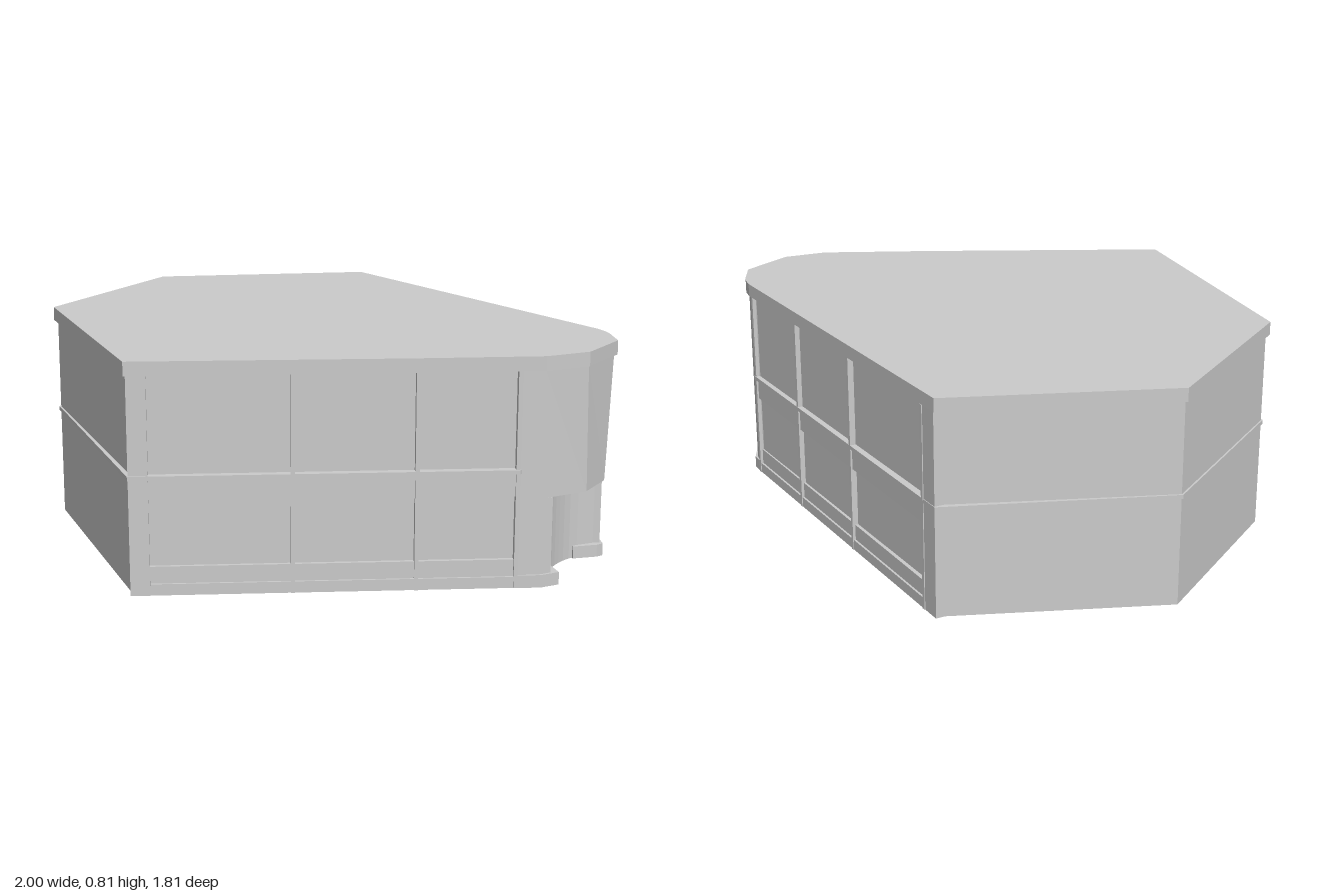
import * as THREE from 'three';

const material = new THREE.MeshStandardMaterial({ color: 0xcccccc, flatShading: true, side: THREE.DoubleSide });

// Solid prism from a plan of [x, z] points, between two heights
function prism(name, plan, y0, y1) {
  const shape = new THREE.Shape(plan.map(([x, z]) => new THREE.Vector2(x, -z)));
  const geo = new THREE.ExtrudeGeometry(shape, { depth: y1 - y0, bevelEnabled: false });
  geo.rotateX(-Math.PI / 2).translate(0, y0, 0);
  const mesh = new THREE.Mesh(geo, material);
  mesh.name = name;
  return mesh;
}

// Window wall running from a to b; stops are mullion positions along it
function facade(name, a, b, stops, pier) {
  const g = new THREE.Group();
  g.name = name;
  const dx = b[0] - a[0], dz = b[1] - a[1], length = Math.hypot(dx, dz);
  g.position.set(a[0], 0, a[1]);
  g.rotation.y = -Math.atan2(dz, dx);
  const bar = (part, u0, u1, y0, y1, front) => {
    const depth = 0.03 + front;
    const mesh = new THREE.Mesh(new THREE.BoxGeometry(u1 - u0, y1 - y0, depth), material);
    mesh.position.set((u0 + u1) / 2, (y0 + y1) / 2, front - depth / 2);
    mesh.name = part;
    g.add(mesh);
  };
  bar('plinth', 0, length, 0, 0.04, 0);
  bar('sill', 0, length, 0.04, 0.1, -0.008);
  bar('fascia', 0, length, 0.325, 0.405, -0.004);
  bar('pier', pier[0], pier[1], 0, 0.76, 0);
  for (const u of stops) bar('mullion', u - 0.007, u + 0.007, 0, 0.76, 0.003);
  return g;
}

export function createModel() {
  const model = new THREE.Group();
  model.name = 'cornerBuilding';

  // Shared wall plan on the long sides, with the facades set back
  const back = [[0.242, -0.89], [-0.583, -0.838], [-0.985, -0.15], [-0.69, 0.86]];
  const frontEnd = [[0.62, 0.872], [0.62, 0.893], [0.7, 0.89]];
  const sideStart = [[0.985, 0.5], [0.972, 0.455], [0.952, 0.441]];

  // Ground floor with a concave entrance cut into the corner
  const notch = new THREE.SplineCurve([[0.74, 0.86], [0.745, 0.8], [0.765, 0.73], [0.805, 0.66], [0.87, 0.595], [0.96, 0.56]]
    .map(([x, z]) => new THREE.Vector2(x, z))).getPoints(14).map((p) => [p.x, p.y]);
  model.add(prism('lowerWalls', [...back, ...frontEnd, [0.74, 0.874], ...notch, [0.985, 0.56], ...sideStart], 0, 0.315));

  // Upper walls; the panel over the entrance leans inward and narrows downward
  const upper = prism('upperWalls', [...back, ...frontEnd, [0.858, 0.828], [0.985, 0.66], ...sideStart], 0.315, 0.76);
  const pos = upper.geometry.attributes.position;
  for (let i = 0; i < pos.count; i++) {
    if (pos.getY(i) > 0.5) continue;
    const x = pos.getX(i), z = pos.getZ(i);
    if (Math.abs(z - 0.828) < 0.001) pos.setXYZ(i, 0.87, 0.315, 0.812);
    if (Math.abs(z - 0.66) < 0.001 && x > 0.9) pos.setXYZ(i, 0.963, 0.315, 0.68);
  }
  upper.geometry.computeVertexNormals();
  model.add(upper);

  // Flat roof with its edge band
  model.add(prism('roof', [[-0.59, -0.85], [0.26, -0.91], [0.98, 0.44], [0.995, 0.49], [1, 0.53], [1, 0.65],
    [0.86, 0.835], [0.7, 0.897], [0.26, 0.899], [-0.705, 0.88], [-1, -0.15]], 0.76, 0.81));

  // Thin ledge between the storeys
  model.add(prism('ledge', [[-0.587, -0.845], [0.262, -0.91], [0.977, 0.447], [0.62, 0.902],
    [-0.7, 0.886], [-0.992, -0.15]], 0.405, 0.42));

  // Window walls
  model.add(facade('frontFacade', [-0.698, 0.88], [0.62, 0.896], [0.06, 0.55, 0.97, 1.312], [0, 0.06]));
  model.add(facade('sideFacade', [0.972, 0.45], [0.262, -0.905], [0.007, 0.418, 0.88, 1.445], [1.445, 1.53]));

  // Low base blocks on both sides of the entrance
  model.add(prism('entranceBaseFront', [[0.62, 0.897], [0.7, 0.9], [0.77, 0.872], [0.755, 0.8], [0.768, 0.74], [0.65, 0.74]], 0, 0.045));
  model.add(prism('entranceBaseSide', [[0.975, 0.455], [0.995, 0.5], [0.995, 0.57], [0.97, 0.585], [0.88, 0.6], [0.87, 0.5]], 0, 0.045));
  return model;
}
